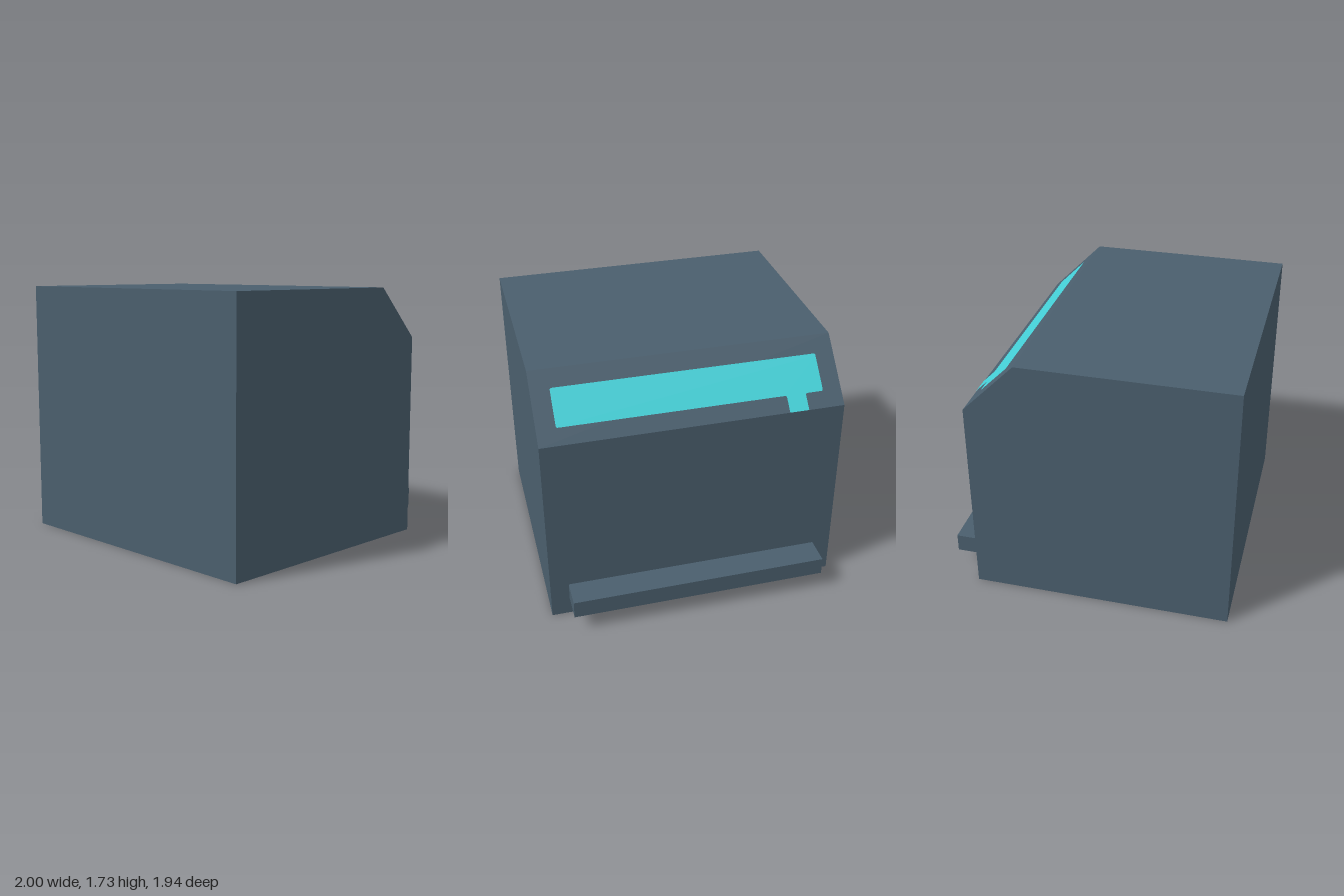
import * as THREE from 'three';

const WIDTH = 2;
const BACK = -0.78;      // z of the rear wall
const FRONT = 0.97;      // z of the front wall
const TOP = 1.73;
const SLOPE_BASE = 1.38; // height where the rear chamfer starts

const shell = new THREE.MeshStandardMaterial({ color: 0x4a5e6d });
shell.name = 'slate shell';
const glow = new THREE.MeshStandardMaterial({ color: 0x45d1d8 });
glow.name = 'cyan panel';

function addMesh(parent, name, geometry, material) {
  const mesh = new THREE.Mesh(geometry, material);
  mesh.name = name;
  parent.add(mesh);
  return mesh;
}

// Side profile (z, y) swept across the full width
function bodyGeometry() {
  const profile = new THREE.Shape([
    [-FRONT, 0], [-BACK, 0], [-BACK, SLOPE_BASE], [0.43, TOP], [-FRONT, TOP],
  ].map(([x, y]) => new THREE.Vector2(x, y)));
  const geometry = new THREE.ExtrudeGeometry(profile, { depth: WIDTH, bevelEnabled: false });
  geometry.translate(0, 0, -WIDTH / 2);
  geometry.rotateY(Math.PI / 2);
  return geometry;
}

// Rounded strip with a tab running down to the lower edge of the chamfer
function panelGeometry() {
  const l = -0.875, r = 0.875, b = 0.113, t = 0.368, c = 0.014;
  const tabL = 0.625, tabR = 0.755;
  const s = new THREE.Shape();
  s.moveTo(l + c, b);
  s.lineTo(tabL - c, b);
  s.quadraticCurveTo(tabL, b, tabL, b - c);
  s.lineTo(tabL, 0);
  s.lineTo(tabR, 0);
  s.lineTo(tabR, b - c);
  s.quadraticCurveTo(tabR, b, tabR + c, b);
  s.lineTo(r - c, b);
  s.quadraticCurveTo(r, b, r, b + c);
  s.lineTo(r, t - c);
  s.quadraticCurveTo(r, t, r - c, t);
  s.lineTo(l + c, t);
  s.quadraticCurveTo(l, t, l, t - c);
  s.lineTo(l, b + c);
  s.quadraticCurveTo(l, b, l + c, b);
  return new THREE.ShapeGeometry(s, 6);
}

export function createModel() {
  const model = new THREE.Group();
  model.name = 'chamferedCabinet';

  addMesh(model, 'body', bodyGeometry(), shell);

  // Panel lies just above the chamfer, facing up and back
  const panel = addMesh(model, 'slopePanel', panelGeometry(), glow);
  panel.rotation.set(-Math.PI / 4, Math.PI, 0, 'YXZ');
  panel.position.set(0, SLOPE_BASE + 0.002, BACK - 0.002);

  // Rail across the lower rear wall
  const rail = addMesh(model, 'rearRail', new THREE.BoxGeometry(1.75, 0.125, 0.19), shell);
  rail.position.set(0, 0.19, BACK - 0.095);

  return model;
}
